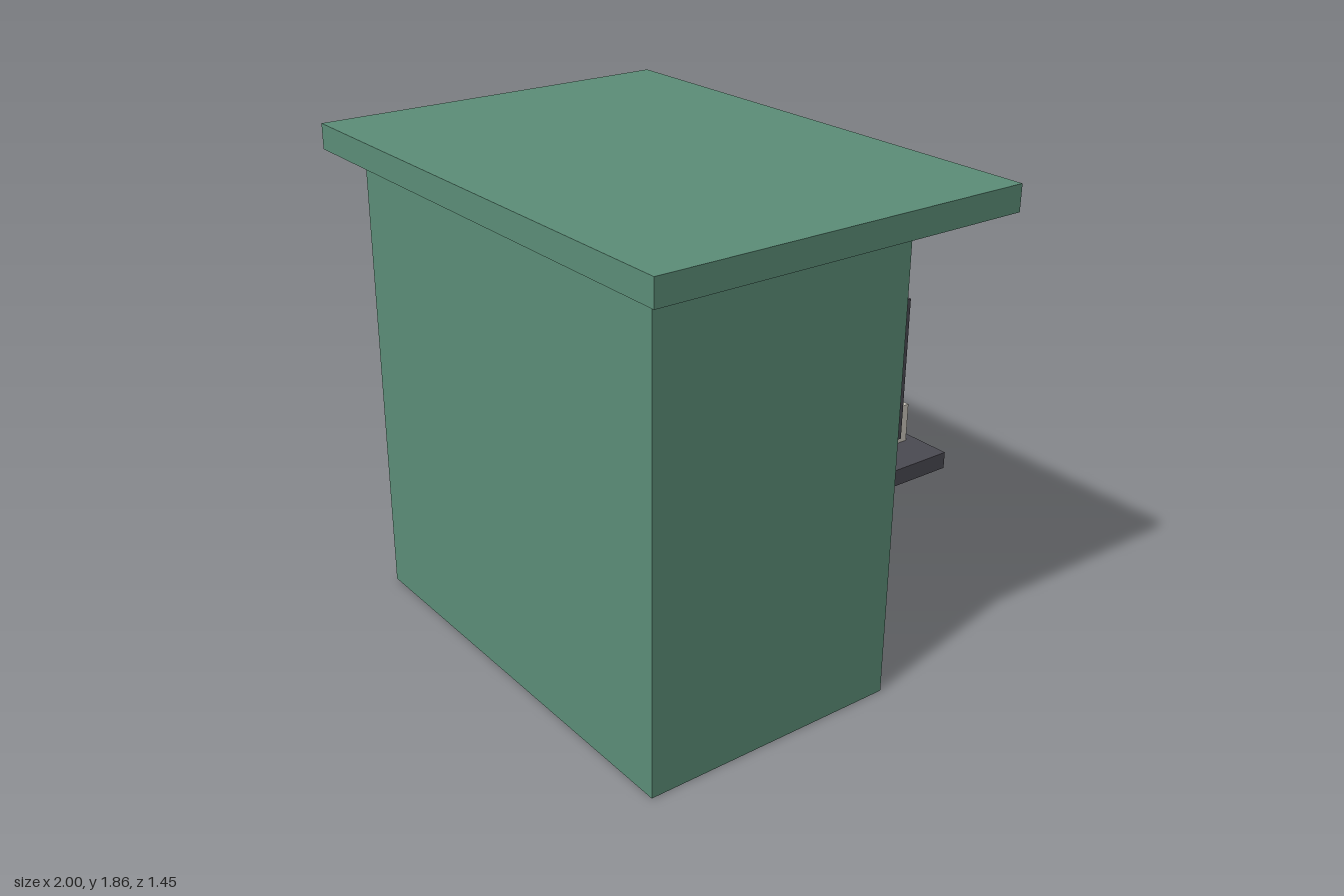
import * as THREE from 'three';

const material = (name, color) => {
  const m = new THREE.MeshStandardMaterial({ color });
  m.name = name;
  return m;
};

export function createModel() {
  const green = material('green paint', 0x5c8e78);
  const dark = material('dark grey', 0x4b4a52);
  const cream = material('cream', 0xc9c5bb);
  const red = material('red', 0xbd645f);
  const blue = material('blue', 0x5c7ba8);
  const yellow = material('yellow', 0xc4b06f);

  const group = new THREE.Group();
  group.name = 'kiosk';

  // Box given by its extents along each axis
  const box = (name, mat, [x0, x1], [y0, y1], [z0, z1]) => {
    const mesh = new THREE.Mesh(new THREE.BoxGeometry(x1 - x0, y1 - y0, z1 - z0), mat);
    mesh.position.set((x0 + x1) / 2, (y0 + y1) / 2, (z0 + z1) / 2);
    mesh.name = name;
    group.add(mesh);
  };

  // Booth and overhanging roof
  box('booth', green, [-0.863, 0.863], [0, 1.76], [-0.39, 0.63]);
  box('roof', green, [-1, 1], [1.76, 1.855], [-0.725, 0.725]);

  // Display board and counter shelf on the back wall
  box('displayBoard', dark, [-0.813, 0.813], [0.965, 1.47], [-0.455, -0.39]);
  box('counterShelf', dark, [-0.83, 0.83], [0.8, 0.86], [-0.66, -0.39]);

  // Lamp under the eaves
  box('lamp', cream, [-0.092, 0.092], [1.61, 1.72], [-0.585, -0.397]);

  // Five cards on the board and five goods on the shelf, from +x to -x
  const cards = [red, blue, yellow, cream, cream];
  const goods = [cream, red, blue, yellow, cream];
  for (let i = 0; i < 5; i++) {
    const x = 0.568 - i * 0.284;
    box('displayCard', cards[i], [x - 0.103, x + 0.103], [1.087, 1.352], [-0.485, -0.455]);
    box('shelfGoods', goods[i], [x - 0.112, x + 0.112], [0.86, 1.0], [-0.62, -0.432]);
  }
  return group;
}
